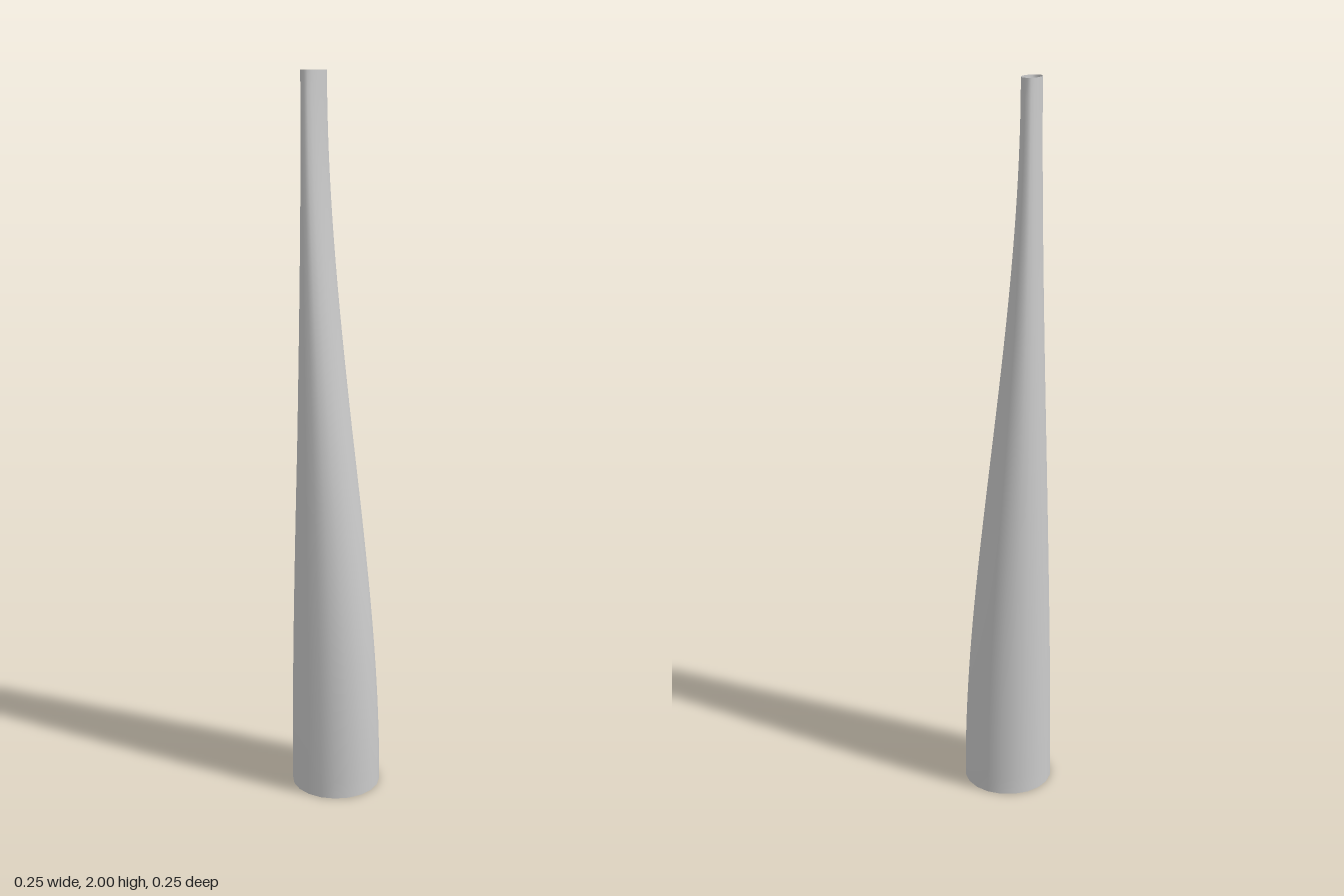
import * as THREE from 'three';

const HEIGHT = 2;
const BASE_RADIUS = 0.126;
const TIP = { x: -0.061, rx: 0.026, rz: 0.07 }; // flattened, offset mouth

export function createModel() {
  const group = new THREE.Group();

  // Open tube: round at the base, easing into a narrow offset ellipse at the tip
  const geometry = new THREE.CylinderGeometry(1, 1, HEIGHT, 20, 40, true);
  geometry.translate(0, HEIGHT / 2, 0);
  const pos = geometry.attributes.position;
  for (let i = 0; i < pos.count; i++) {
    const y = pos.getY(i);
    const t = THREE.MathUtils.smoothstep(y, 0, HEIGHT);
    const rx = THREE.MathUtils.lerp(BASE_RADIUS, TIP.rx, t);
    const rz = THREE.MathUtils.lerp(BASE_RADIUS, TIP.rz, t);
    pos.setXYZ(i, pos.getX(i) * rx + TIP.x * t, y, pos.getZ(i) * rz);
  }
  geometry.computeVertexNormals();

  // Share normals across the seam so the wall shades smoothly all round
  const normal = geometry.attributes.normal;
  const row = 21;
  for (let i = 0; i < pos.count; i += row) {
    const a = new THREE.Vector3().fromBufferAttribute(normal, i);
    const b = new THREE.Vector3().fromBufferAttribute(normal, i + row - 1);
    a.add(b).normalize();
    normal.setXYZ(i, a.x, a.y, a.z);
    normal.setXYZ(i + row - 1, a.x, a.y, a.z);
  }

  const tube = new THREE.Mesh(
    geometry,
    new THREE.MeshStandardMaterial({ color: 0xcccccc, side: THREE.DoubleSide })
  );
  tube.name = 'taperedTube';
  group.add(tube);
  return group;
}
